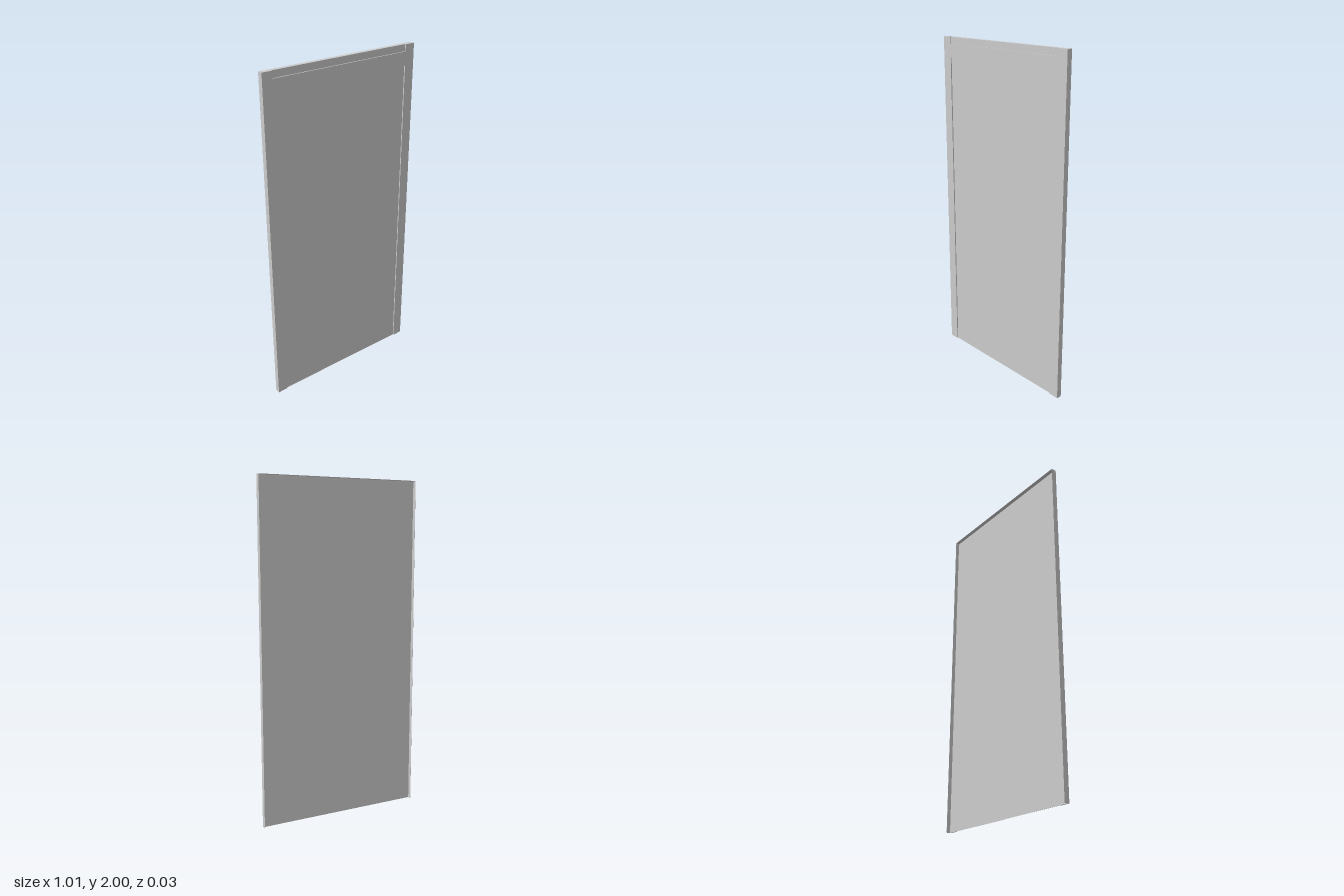
import * as THREE from 'three';

export function createModel() {
  const group = new THREE.Group();
  const material = new THREE.MeshStandardMaterial({ color: 0xcccccc });
  const W = 0.505, H = 2, Z = 0.0155;     // half width, height, half depth
  const inner = 0.443;                    // half width of the recesses
  const relief = 0.0065;                  // depth of the raised front frame
  const sheet = 0.001;                    // sheet thickness
  const panelZ = Z - relief;              // front plane of the sheet

  const add = (name, geometry, x = 0, y = 0, z = 0) => {
    const mesh = new THREE.Mesh(geometry, material);
    mesh.name = name;
    mesh.position.set(x, y, z);
    group.add(mesh);
  };

  // Thin sheet behind the frame
  add('panelSheet', new THREE.BoxGeometry(2 * W, H, sheet), 0, H / 2, panelZ - sheet / 2);

  // Raised H-shaped frame: two stiles joined by a rail, open at top and bottom
  const railLow = 1.88, railHigh = 1.96;
  const frame = new THREE.Shape([
    [-W, 0], [-inner, 0], [-inner, railLow], [inner, railLow], [inner, 0], [W, 0],
    [W, H], [inner, H], [inner, railHigh], [-inner, railHigh], [-inner, H], [-W, H],
  ].map(([x, y]) => new THREE.Vector2(x, y)));
  add('frontFrame', new THREE.ExtrudeGeometry(frame, { depth: relief, bevelEnabled: false }), 0, 0, panelZ);

  // Flanges folded back along the sides and top; the back and bottom stay open
  const depth = panelZ + Z;
  const flangeZ = (panelZ - Z) / 2;
  for (const [name, side] of [['leftFlange', 1], ['rightFlange', -1]]) {
    add(name, new THREE.BoxGeometry(sheet, H, depth), side * (W - sheet / 2), H / 2, flangeZ);
  }
  add('topFlange', new THREE.BoxGeometry(2 * W, sheet, depth), 0, H - sheet / 2, flangeZ);

  return group;
}
